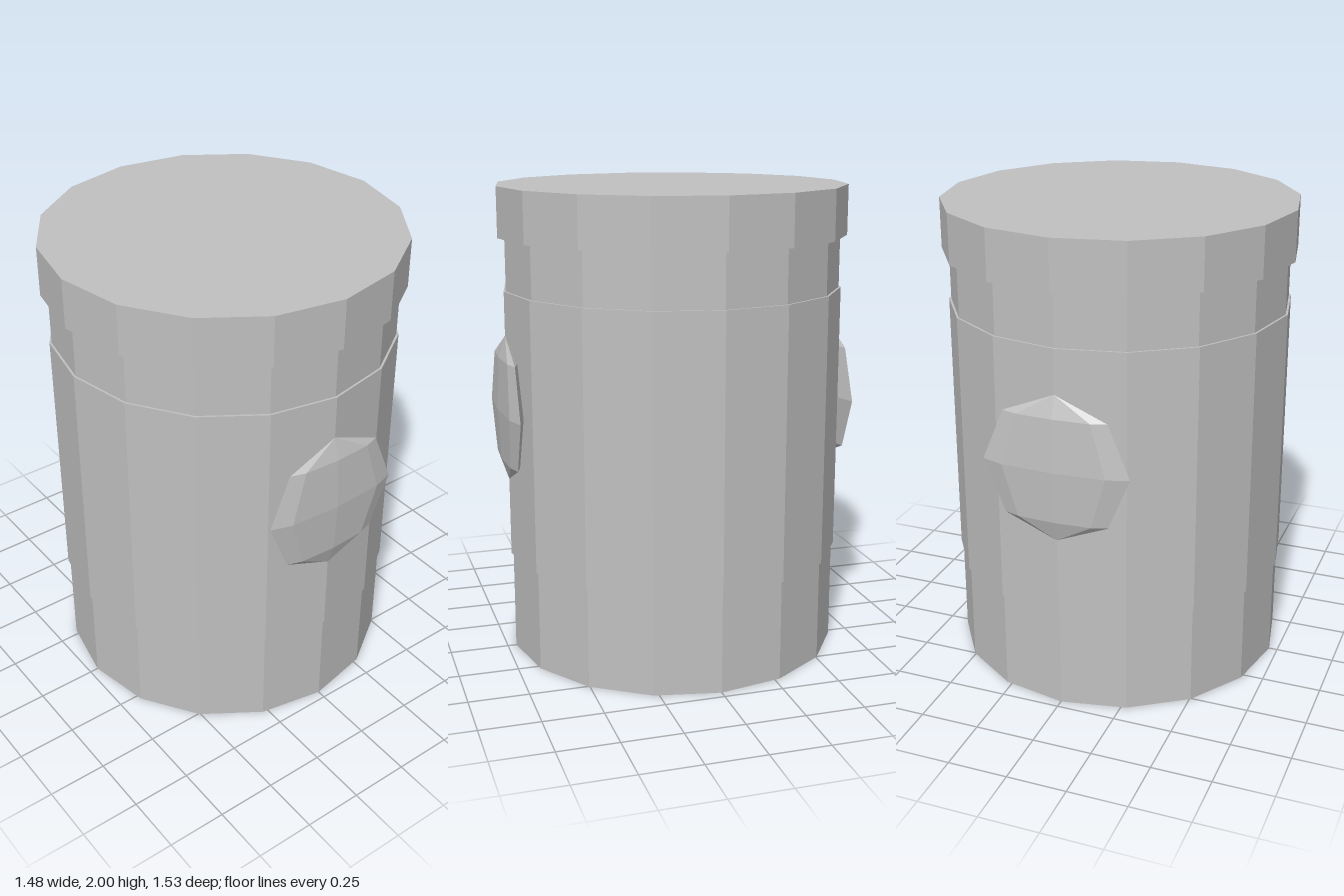
import * as THREE from 'three';

const SIDES = 16;

export function createModel() {
  const model = new THREE.Group();
  const grey = new THREE.MeshStandardMaterial({ color: 0xc0c0c0 });
  grey.name = 'grey';

  const add = (name, geometry, x, y, z) => {
    // Unshared vertices give each facet its own flat normal
    const flat = geometry.toNonIndexed();
    flat.computeVertexNormals();
    const mesh = new THREE.Mesh(flat, grey);
    mesh.name = name;
    mesh.position.set(x, y, z);
    model.add(mesh);
  };

  // Stepped faceted canister: [name, radius, bottom, top]
  const drums = [
    ['base', 0.713, 0, 0.43],
    ['middleBand', 0.722, 0.43, 1.57],
    ['neck', 0.713, 1.57, 1.79],
    ['lid', 0.742, 1.79, 2],
  ];
  for (const [name, r, y0, y1] of drums) {
    add(name, new THREE.CylinderGeometry(r, r, y1 - y0, SIDES), 0, (y0 + y1) / 2, 0);
  }

  // Flattened faceted bosses on front and back
  for (const [name, side] of [['frontBoss', 1], ['backBoss', -1]]) {
    const boss = new THREE.SphereGeometry(0.31, 8, 4).scale(1, 1, 0.041 / 0.31);
    add(name, boss, 0, 1.075, side * 0.722);
  }
  return model;
}
